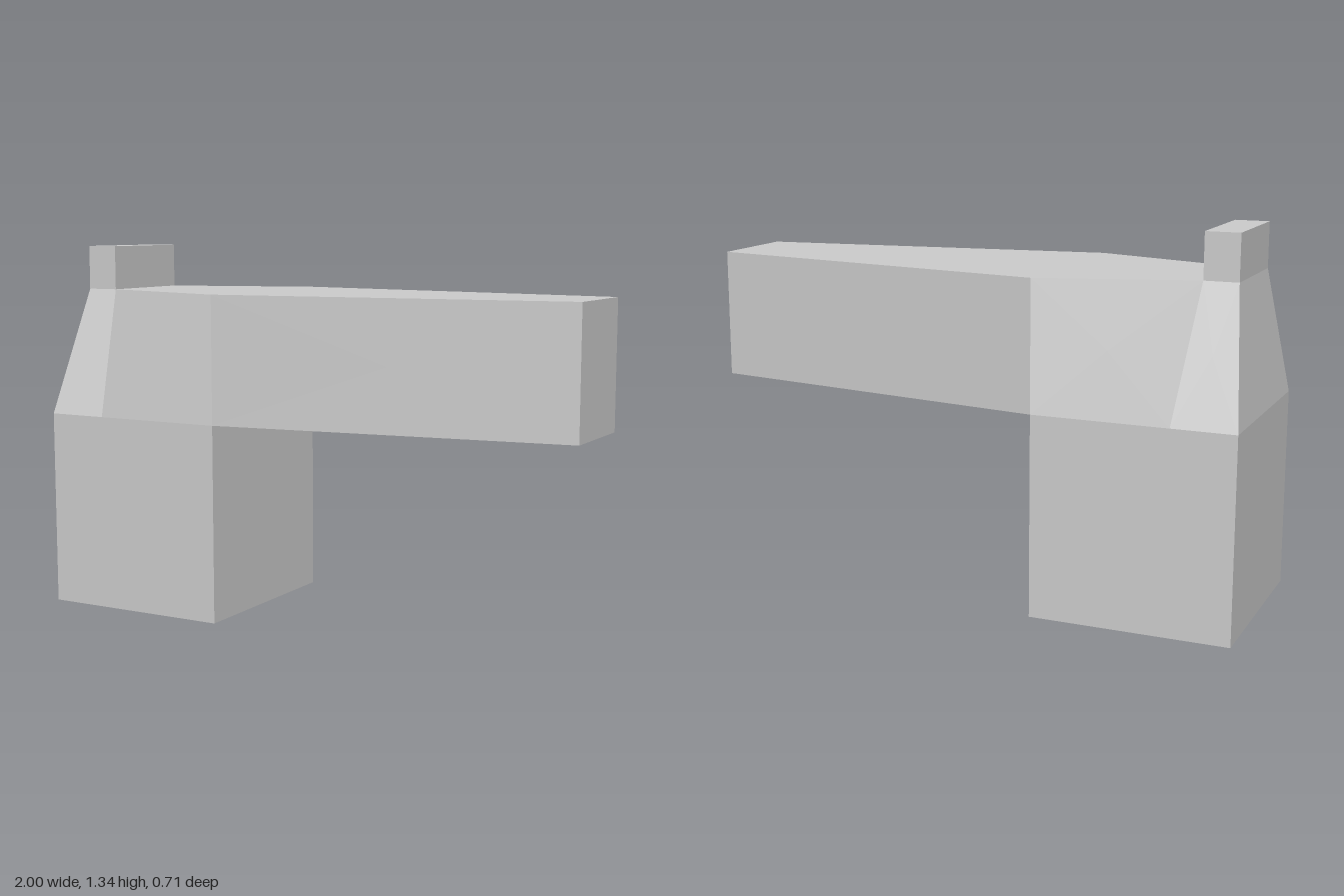
import * as THREE from 'three';

const stone = new THREE.MeshStandardMaterial({ color: 0xcccccc });
stone.name = 'pale grey';

// Flat-shaded mesh from four-cornered faces; each face is a fan around its centre
// and carries one normal, so slightly warped faces still read as one plane.
function faceMesh(name, quads) {
  const pos = [], nor = [];
  for (const quad of quads) {
    const p = quad.map(c => new THREE.Vector3(...c));
    const centre = p.reduce((s, v) => s.add(v), new THREE.Vector3()).multiplyScalar(0.25);
    const n = p[2].clone().sub(p[0]).cross(p[3].clone().sub(p[1])).normalize();
    for (let i = 0; i < 4; i++) {
      for (const v of [p[i], p[(i + 1) % 4], centre]) {
        pos.push(v.x, v.y, v.z);
        nor.push(n.x, n.y, n.z);
      }
    }
  }
  const geo = new THREE.BufferGeometry();
  geo.setAttribute('position', new THREE.Float32BufferAttribute(pos, 3));
  geo.setAttribute('normal', new THREE.Float32BufferAttribute(nor, 3));
  const mesh = new THREE.Mesh(geo, stone);
  mesh.name = name;
  return mesh;
}

// The same face on the -z side, with its corners reversed
const mirrorZ = quad => quad.map(([x, y, z]) => [x, y, -z]).reverse();
const bothSides = quad => [quad, mirrorZ(quad)];

export function createModel() {
  const model = new THREE.Group();
  model.name = 'building';

  const back = -1, joint = -0.29, tip = 1;         // lengthwise stations
  const eave = 0.715, roof = 1.175, top = 1.335;   // heights
  const wide = 0.355, narrow = 0.19, end = 0.175;  // half widths
  const chimBack = -0.945, chimFront = -0.825, crease = -0.775;

  // Square tower below
  const base = new THREE.Mesh(new THREE.BoxGeometry(joint - back, eave, wide * 2), stone);
  base.name = 'base';
  base.position.set((back + joint) / 2, eave / 2, 0);
  model.add(base);

  // Shoulder narrowing from the base to the upright block
  model.add(faceMesh('shoulder', [
    ...bothSides([[back, eave, wide], [crease, eave, wide], [chimFront, roof, narrow], [chimBack, roof, narrow]]),
    ...bothSides([[crease, eave, wide], [joint, eave, wide], [joint, roof, wide], [chimFront, roof, narrow]]),
    [[back, eave, -wide], [back, eave, wide], [chimBack, roof, narrow], [chimBack, roof, -narrow]],
    [[chimFront, roof, narrow], [joint, roof, wide], [joint, roof, -wide], [chimFront, roof, -narrow]],
  ]));

  // Overhanging arm that tapers to the tip
  model.add(faceMesh('arm', [
    ...bothSides([[joint, eave, wide], [tip, eave, end], [tip, roof, end], [joint, roof, wide]]),
    [[joint, roof, wide], [tip, roof, end], [tip, roof, -end], [joint, roof, -wide]],
    [[joint, eave, -wide], [tip, eave, -end], [tip, eave, end], [joint, eave, wide]],
    [[tip, eave, end], [tip, eave, -end], [tip, roof, -end], [tip, roof, end]],
  ]));

  // Upright block on the roof
  const block = new THREE.Mesh(
    new THREE.BoxGeometry(chimFront - chimBack, top - roof, narrow * 2), stone);
  block.name = 'roofBlock';
  block.position.set((chimBack + chimFront) / 2, (top + roof) / 2, 0);
  model.add(block);

  return model;
}
